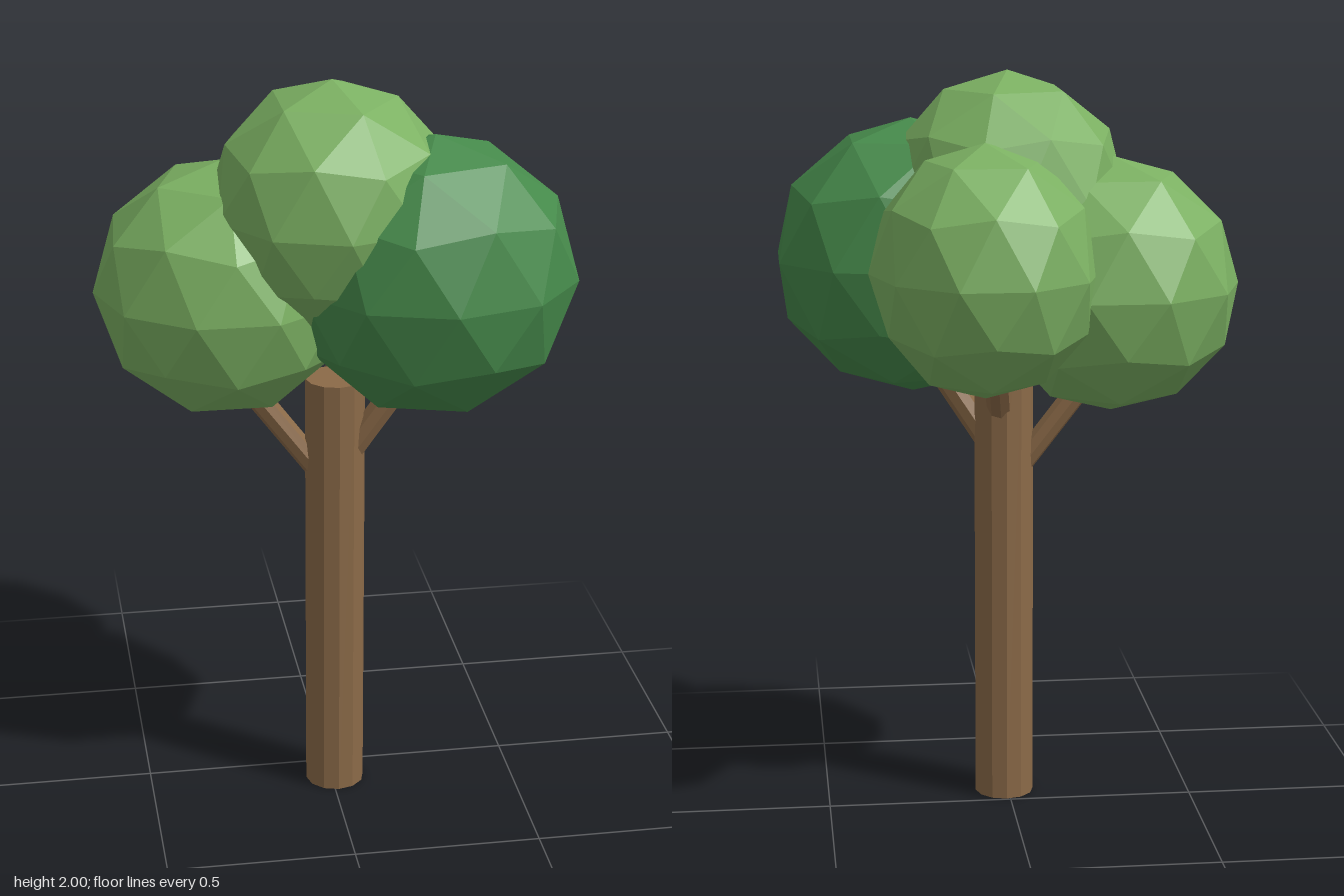
import * as THREE from 'three';

export function createModel() {
  const tree = new THREE.Group();
  tree.name = 'tree';
  const material = (color) => new THREE.MeshStandardMaterial({ color, flatShading: true });
  const bark = material(0x8b6a48);
  const lightLeaf = material(0x7bb062);
  const darkLeaf = material(0x468a4b);

  const add = (name, geometry, mat) => {
    const mesh = new THREE.Mesh(geometry, mat);
    mesh.name = name;
    tree.add(mesh);
    return mesh;
  };

  // Round stem running between two points
  const stem = (name, from, to, radius, sides) => {
    const a = new THREE.Vector3(...from);
    const dir = new THREE.Vector3(...to).sub(a);
    const length = dir.length();
    const geometry = new THREE.CylinderGeometry(radius, radius, length, sides);
    geometry.translate(0, length / 2, 0);
    const mesh = add(name, geometry, bark);
    mesh.position.copy(a);
    mesh.quaternion.setFromUnitVectors(new THREE.Vector3(0, 1, 0), dir.normalize());
  };

  // Faceted leaf ball with a corner pointing straight up, turned about y
  const poleTilt = -Math.atan(2 / (1 + Math.sqrt(5)));
  const foliage = (name, center, radii, turn, mat) => {
    const geometry = new THREE.IcosahedronGeometry(1, 1);
    geometry.rotateZ(poleTilt).rotateY(turn).scale(...radii).translate(...center);
    add(name, geometry, mat);
  };

  // Trunk and branches
  stem('trunk', [0.01, 0, 0.085], [0.01, 1.2, 0.085], 0.08, 12);
  stem('rightBranch', [-0.01, 0.905, 0.08], [-0.24, 1.21, 0.06], 0.032, 8);
  stem('leftBranch', [0.03, 0.97, 0.1], [0.22, 1.26, 0.14], 0.035, 8);
  stem('backBranch', [0.02, 1.06, 0.07], [0.06, 1.35, -0.16], 0.035, 8);

  // Crown
  foliage('rightFoliage', [-0.27, 1.44, 0.005], [0.34, 0.34, 0.335], -Math.PI / 2, lightLeaf);
  foliage('topFoliage', [0, 1.67, 0.09], [0.32, 0.33, 0.33], 0, lightLeaf);
  foliage('backFoliage', [0.085, 1.51, -0.19], [0.3, 0.33, 0.335], -Math.PI / 2, lightLeaf);
  foliage('leftFoliage', [0.25, 1.5, 0.17], [0.375, 0.37, 0.34], Math.PI, darkLeaf);

  return tree;
}
